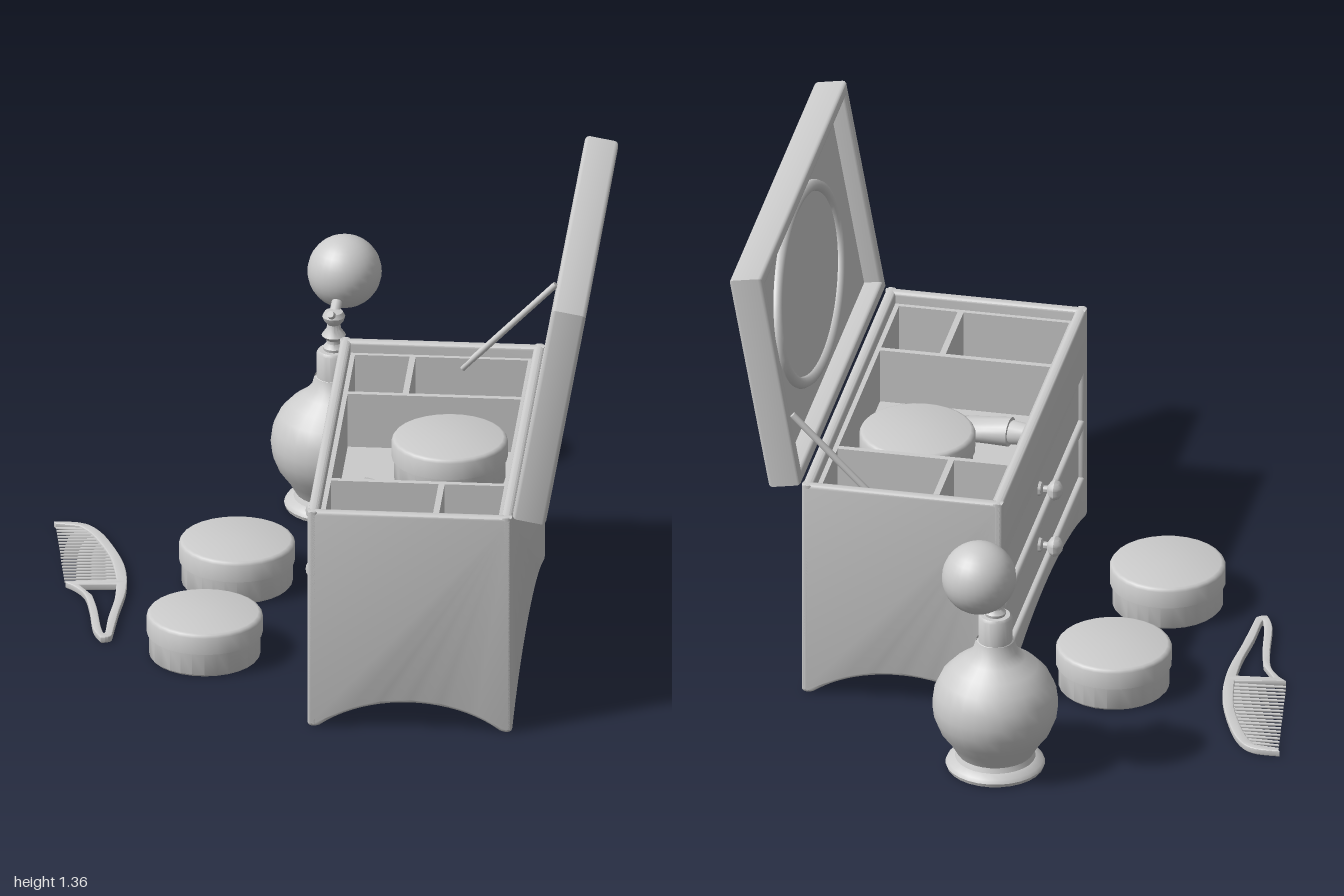
import * as THREE from 'three';
import { toCreasedNormals } from 'three/addons/utils/BufferGeometryUtils.js';
import { RoundedBoxGeometry } from 'three/addons/geometries/RoundedBoxGeometry.js';

const grey = new THREE.MeshStandardMaterial({ color: 0xcccccc, side: THREE.DoubleSide });
const V2 = (x, y) => new THREE.Vector2(x, y);
const V3 = (x, y, z) => new THREE.Vector3(x, y, z);

function add(parent, name, geometry, x = 0, y = 0, z = 0) {
  const mesh = new THREE.Mesh(geometry, grey);
  mesh.name = name;
  mesh.position.set(x, y, z);
  parent.add(mesh);
  return mesh;
}
function addGroup(parent, name, x = 0, y = 0, z = 0) {
  const group = new THREE.Group();
  group.name = name;
  group.position.set(x, y, z);
  parent.add(group);
  return group;
}
const box = (w, h, d) => new THREE.BoxGeometry(w, h, d);
const lathe = (points, sides = 28) =>
  toCreasedNormals(new THREE.LatheGeometry(points.map(p => V2(...p)), sides), 0.7);

// Straight bar between two points
function rod(parent, name, a, b, r0, r1 = r0, sides = 10) {
  const mesh = add(parent, name, new THREE.CylinderGeometry(r1, r0, a.distanceTo(b), sides));
  mesh.position.lerpVectors(a, b, 0.5);
  mesh.quaternion.setFromUnitVectors(V3(0, 1, 0), b.clone().sub(a).normalize());
  return mesh;
}
// Slab with softly rounded edges, thickness running from z = 0 to z = depth
function slab(shape, depth, bevel = 0.01) {
  const g = new THREE.ExtrudeGeometry(shape, {
    depth: depth - 2 * bevel, bevelThickness: bevel, bevelSize: bevel,
    bevelOffset: -bevel, bevelSegments: 3, curveSegments: 20,
  });
  return toCreasedNormals(g.translate(0, 0, bevel), 0.6);
}
function rect(x0, y0, x1, y1, Type = THREE.Shape) {
  return new Type([V2(x0, y0), V2(x1, y0), V2(x1, y1), V2(x0, y1)]);
}

const L = 0.618, D = 0.3, H = 0.69, FLOOR = 0.485, WALL = 0.032;
const drawers = [{ y0: 0.145, y1: 0.305 }, { y0: 0.335, y1: 0.49 }];

// Wall with an arched lower edge between two feet
function wallShape(half) {
  const s = new THREE.Shape();
  s.moveTo(-half, 0.012);
  s.quadraticCurveTo(-half, 0, -half + 0.02, 0);
  s.lineTo(-half + 0.035, 0.004);
  s.bezierCurveTo(-half * 0.4, 0.112, half * 0.4, 0.112, half - 0.035, 0.004);
  s.lineTo(half - 0.02, 0);
  s.quadraticCurveTo(half, 0, half, 0.012);
  s.lineTo(half, H);
  s.lineTo(-half, H);
  return s;
}

function buildChest(root) {
  const chest = addGroup(root, 'jewelleryBox', 0.05, 0, 0.205);
  chest.rotation.y = -2 * Math.PI / 3;

  // Four walls; the front one is pierced for the drawers
  const front = wallShape(L);
  for (const d of drawers) front.holes.push(rect(-0.57, d.y0, 0.57, d.y1, THREE.Path));
  add(chest, 'frontWall', slab(front, WALL), 0, 0, D - WALL);
  add(chest, 'backWall', slab(wallShape(L), WALL), 0, 0, -D);
  for (const s of [-1, 1])
    add(chest, 'endWall', slab(wallShape(D), WALL), s * L, 0, 0).rotation.set(0, s * Math.PI / 2, 0);
  chest.children.filter(m => m.name === 'endWall')
    .forEach(m => { m.position.x -= Math.sign(m.position.x) * WALL; });

  // Drawer fronts and turned knobs
  const knob = lathe([[0, 0], [0.022, 0], [0.02, 0.008], [0.011, 0.014], [0.011, 0.026], [0.026, 0.036],
    [0.031, 0.048], [0.026, 0.061], [0.012, 0.07], [0, 0.072]], 20).rotateX(Math.PI / 2);
  for (const d of drawers) {
    const y = (d.y0 + d.y1) / 2, h = d.y1 - d.y0;
    add(chest, 'drawerFront', box(1.16, h + 0.02, 0.014), 0, y, D - 0.025);
    add(chest, 'drawerKnob', knob, 0, y, D - 0.018);
  }

  // Tray: floor, liner and dividers
  add(chest, 'trayFloor', box(2 * L - 0.04, 0.02, 2 * D - 0.04), 0, FLOOR - 0.01, 0);
  const top = 0.655, th = top - FLOOR, ty = FLOOR + th / 2, t = 0.014;
  for (const s of [-1, 1]) {
    add(chest, 'trayLiner', box(2 * L - 0.06, th, t), 0, ty, s * (D - WALL - t / 2));
    add(chest, 'trayLiner', box(t, th, 2 * D - 0.06), s * (L - WALL - t / 2), ty, 0);
    add(chest, 'crossDivider', box(0.018, th, 2 * D - 0.07), s * 0.306, ty, 0);
    add(chest, 'sideDivider', box(0.28, th, 0.018), s * 0.446, ty, s < 0 ? 0.085 : -0.07);
  }

  // Open lid, leaning back on its hinge line
  const lid = addGroup(chest, 'lid', 0, H, -D);
  lid.rotation.x = -0.175;
  const lh = 0.685, rim = rect(-L, 0, L, lh);
  rim.holes.push(rect(-L + 0.036, 0.036, L - 0.036, lh - 0.036, THREE.Path));
  add(lid, 'lidRim', slab(rim, 0.1, 0.012), 0, 0, -0.1);
  add(lid, 'lidPanel', box(2 * L - 0.045, lh - 0.045, 0.045), 0, lh / 2, -0.0772);

  // Oval mirror and its frame
  const oval = [];
  for (let i = 0; i < 32; i++) {
    const a = i / 32 * Math.PI * 2;
    oval.push(V3(0.4 * Math.cos(a), 0.25 * Math.sin(a), 0));
  }
  const ring = new THREE.TubeGeometry(new THREE.CatmullRomCurve3(oval, true), 64, 0.018, 8, true);
  add(lid, 'mirrorFrame', ring, 0, lh / 2, -0.05);
  add(lid, 'mirror', new THREE.CircleGeometry(1, 48).scale(0.4, 0.25, 1), 0, lh / 2, -0.048);

  // Lid stay
  rod(chest, 'lidStay', V3(-0.578, 0.62, -0.06), V3(-0.578, 0.9, -0.335), 0.01);
}

function buildTin(root, x, y, z) {
  const tin = addGroup(root, 'roundTin', x, y, z);
  add(tin, 'tinBase', lathe([[0, 0], [0.158, 0], [0.163, 0.006], [0.163, 0.08]]));
  add(tin, 'tinLid', lathe([[0.16, 0.074], [0.17, 0.074], [0.17, 0.126], [0.165, 0.134], [0.157, 0.137], [0, 0.137]]));
}

function buildBottle(root) {
  const bottle = addGroup(root, 'perfumeBottle', 0.22, 0, -0.78);
  add(bottle, 'bottleBody', lathe([[0, 0.06], [0.1, 0.045], [0.125, 0], [0.142, 0.003], [0.146, 0.014], [0.14, 0.025],
    [0.118, 0.035], [0.112, 0.05], [0.132, 0.085], [0.162, 0.125], [0.18, 0.17], [0.185, 0.21], [0.179, 0.255],
    [0.158, 0.3], [0.125, 0.335], [0.088, 0.362], [0.066, 0.385], [0.056, 0.42]]));
  add(bottle, 'collar', lathe([[0.056, 0.412], [0.05, 0.418], [0.05, 0.495], [0.044, 0.503], [0, 0.505]]));
  add(bottle, 'sprayStem', lathe([[0.03, 0.5], [0.032, 0.512], [0.021, 0.525], [0.021, 0.535], [0.036, 0.55], [0.022, 0.57],
    [0.019, 0.585], [0.03, 0.598], [0.034, 0.61], [0.027, 0.624], [0, 0.63]], 16));
  rod(bottle, 'nozzle', V3(0, 0.605, 0), V3(-0.028, 0.635, 0.035), 0.014, 0.01);
  rod(bottle, 'bulbTube', V3(0, 0.608, 0), V3(0.05, 0.655, -0.065), 0.016);
  add(bottle, 'squeezeBulb', new THREE.SphereGeometry(0.109, 28, 18), 0.085, 0.695, -0.105);
}

// Squeeze tube: round at the cap, flattened at the crimped end
function buildTube(root) {
  const tube = addGroup(root, 'creamTube', -0.02, FLOOR, 0.325);
  tube.rotation.y = 0.9;
  const g = new THREE.CylinderGeometry(1, 1, 0.41, 24, 6), p = g.attributes.position;
  for (let i = 0; i < p.count; i++) {
    const t = 0.5 - p.getY(i) / 0.41;
    const w = 0.044 + 0.034 * t, h = 0.044 - 0.039 * t;
    p.setXYZ(i, p.getX(i) * w, p.getY(i), p.getZ(i) * h + h);
  }
  g.computeVertexNormals();
  add(tube, 'tubeBody', g.rotateX(-Math.PI / 2), 0, 0, 0.03);
  const cap = lathe([[0, 0], [0.03, 0], [0.036, 0.01], [0.033, 0.06], [0.028, 0.065], [0, 0.065]], 16);
  add(tube, 'tubeCap', cap.rotateX(-Math.PI / 2), 0, 0.044, -0.17);
}

function buildComb(root) {
  const comb = addGroup(root, 'comb');
  const thick = 0.02;
  const inner = [[-0.53, -0.935], [-0.522, -0.86], [-0.543, -0.7], [-0.595, -0.545]].map(p => V2(...p));
  const s = new THREE.Shape();
  s.moveTo(-0.585, -0.995);
  s.splineThru([[-0.52, -0.955], [-0.495, -0.9], [-0.497, -0.8], [-0.53, -0.63], [-0.595, -0.48],
    [-0.69, -0.335], [-0.775, -0.2]].map(p => V2(...p)));
  s.quadraticCurveTo(-0.79, -0.187, -0.812, -0.2);
  s.splineThru([[-0.803, -0.27], [-0.755, -0.395], [-0.725, -0.49], [-0.725, -0.55], [-0.738, -0.595]].map(p => V2(...p)));
  s.lineTo(inner[3].x, inner[3].y);
  s.splineThru([inner[2], inner[1], inner[0]]);
  s.lineTo(-0.585, -0.98);
  const hole = new THREE.Path();
  hole.moveTo(-0.71, -0.562);
  hole.lineTo(-0.61, -0.517);
  hole.splineThru([[-0.66, -0.425], [-0.73, -0.32], [-0.787, -0.225], [-0.778, -0.27],
    [-0.733, -0.39], [-0.706, -0.48]].map(p => V2(...p)));
  s.holes.push(hole);
  add(comb, 'combFrame', slab(s, thick, 0.003).rotateX(Math.PI / 2), 0, thick, 0);

  // Teeth from the spine to the straight tip line
  const spine = new THREE.SplineCurve(inner), n = 19;
  for (let i = 0; i < n; i++) {
    const t = (i + 0.5) / n, root2 = spine.getPointAt(t);
    const tip = V3(-0.588 - 0.147 * t, thick / 2, -0.975 + 0.37 * t);
    rod(comb, 'combTooth', V3(root2.x + 0.01, thick / 2, root2.y + 0.004), tip, 0.007, 0.004, 6);
  }
}

export function createModel() {
  const root = new THREE.Group();
  root.name = 'vanitySet';
  buildChest(root);
  buildTin(root, -0.265, 0, -0.42);
  buildTin(root, -0.57, 0, 0);
  buildTin(root, 0.15, FLOOR, 0.155);
  buildBottle(root);
  buildTube(root);
  buildComb(root);
  return root;
}
